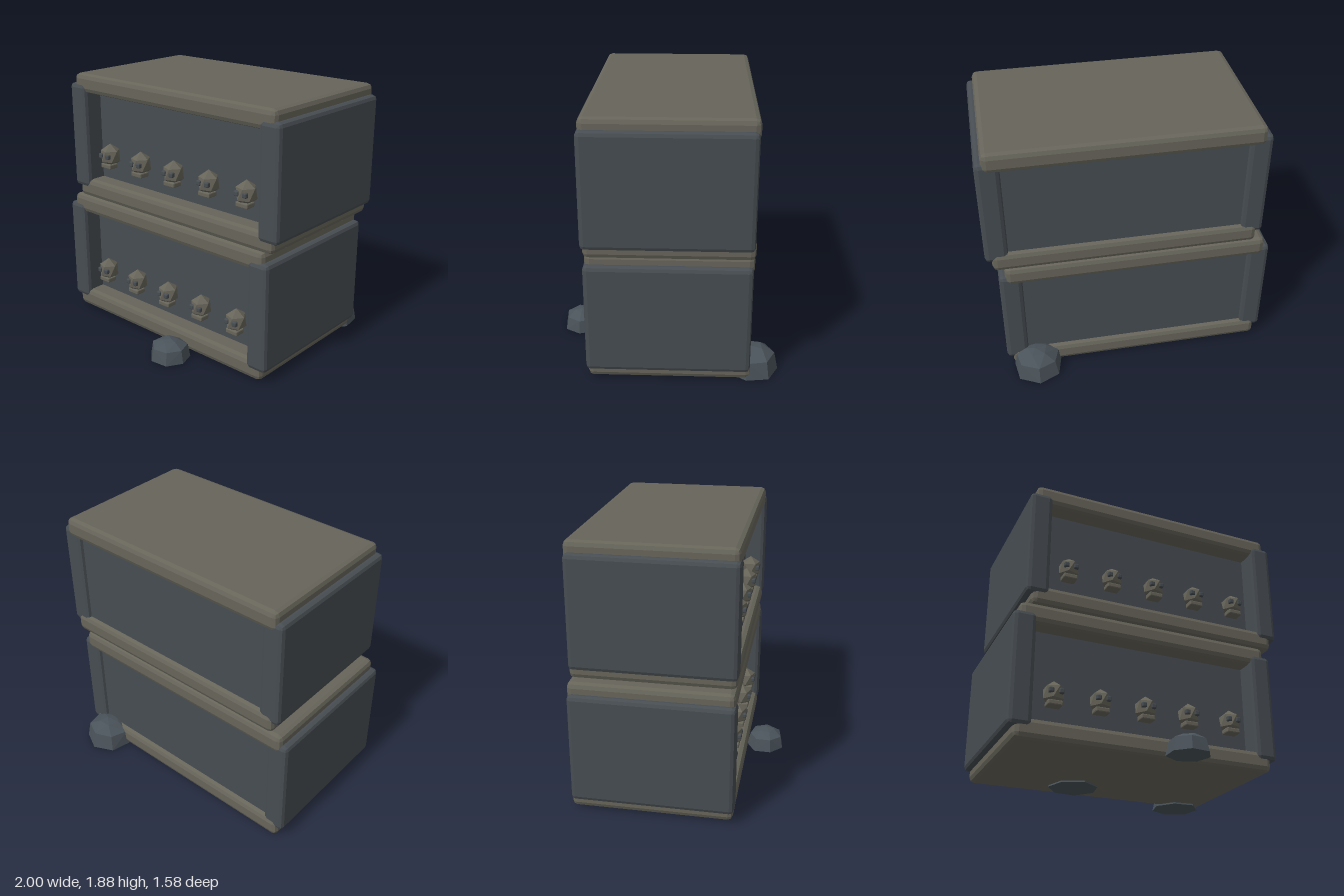
import * as THREE from 'three';
import { ConvexGeometry } from 'three/addons/geometries/ConvexGeometry.js';

const mat = (name, color) => {
  const m = new THREE.MeshStandardMaterial({ color });
  m.name = name;
  return m;
};

// Box with softly bevelled edges, given by its full size
function bevelBox(w, h, d, r) {
  const a = Math.SQRT1_2, b = 1 / Math.sqrt(3);
  const dirs = [[1, 0, 0], [0, 1, 0], [0, 0, 1], [a, a, 0], [a, 0, a], [0, a, a], [b, b, b]];
  const pts = [];
  for (const sx of [-1, 1]) for (const sy of [-1, 1]) for (const sz of [-1, 1])
    for (const [x, y, z] of dirs)
      pts.push(new THREE.Vector3(
        sx * (w / 2 - r + r * x), sy * (h / 2 - r + r * y), sz * (d / 2 - r + r * z)));
  return new ConvexGeometry(pts);
}

// Irregular seven-sided stone with a flat base
function rockGeometry(rx, rz, h, turn, seed) {
  let s = seed;
  const rnd = () => (s = (s * 16807) % 2147483647) / 2147483647;
  const pts = [new THREE.Vector3(rx * 0.1, h, 0)];
  for (const [y, k, n] of [[0, 1, 7], [0.66, 0.86, 7], [0.93, 0.42, 5]])
    for (let i = 0; i < n; i++) {
      const t = turn + (i / n) * Math.PI * 2;
      const f = k * (0.95 + 0.08 * rnd());
      pts.push(new THREE.Vector3(Math.cos(t) * rx * f, y * h * (y ? 0.95 + 0.1 * rnd() : 1), Math.sin(t) * rz * f));
    }
  return new ConvexGeometry(pts);
}

export function createModel() {
  const model = new THREE.Group();
  const stone = mat('slate grey', 0x474d52);
  const trim = mat('olive stone', 0x67655a);
  const rockMat = mat('rock grey', 0x4a535a);

  const add = (parent, name, geo, material, x, y, z) => {
    const m = new THREE.Mesh(geo, material);
    m.name = name;
    m.position.set(x, y, z);
    parent.add(m);
    return m;
  };

  // Shared shapes
  const slabGeo = bevelBox(1.835, 0.14, 1.115, 0.036);
  const sideGeo = bevelBox(0.16, 0.785, 1.115, 0.03);
  const coreGeo = new THREE.BoxGeometry(1.7, 0.75, 0.94);
  const headGeo = new THREE.IcosahedronGeometry(1, 0);
  headGeo.rotateX(-Math.atan2((1 + Math.sqrt(5)) / 2, 1));
  headGeo.rotateY(Math.PI / 2);
  headGeo.scale(0.078, 0.09, 0.08);
  const jawGeo = bevelBox(0.1, 0.036, 0.08, 0.008);
  const eyeGeo = bevelBox(0.036, 0.036, 0.03, 0.008);

  // Small carved skull
  function skull() {
    const g = new THREE.Group();
    g.name = 'skull';
    add(g, 'head', headGeo, trim, 0, 0, 0);
    add(g, 'jaw', jawGeo, trim, 0, -0.073, 0.015);
    for (const s of [-1, 1]) add(g, 'eye', eyeGeo, stone, s * 0.034, 0.004, 0.057);
    return g;
  }

  // One stone block: recessed core, end panels, two slabs and a row of skulls
  function block(name, x, y) {
    const g = new THREE.Group();
    g.name = name;
    g.position.set(x, y, 0);
    add(g, 'core', coreGeo, stone, 0, 0.47, -0.09);
    add(g, 'bottomSlab', slabGeo, trim, 0, 0.07, -0.038);
    add(g, 'topSlab', slabGeo, trim, 0, 0.867, -0.038);
    for (const s of [-1, 1]) add(g, 'endPanel', sideGeo, stone, s * 0.882, 0.47, -0.029);
    for (let i = -2; i <= 2; i++) {
      const k = skull();
      k.position.set(i * 0.323, 0.345, 0.44);
      g.add(k);
    }
    model.add(g);
  }
  block('lowerBlock', -0.038, 0.012);
  block('upperBlock', 0.036, 0.948);

  // Loose stones around and beneath the base
  add(model, 'frontRock', rockGeometry(0.153, 0.145, 0.145, 0.1, 11), rockMat, 0.17, 0, 0.65);
  add(model, 'backRock', rockGeometry(0.185, 0.185, 0.185, 0.25, 57), rockMat, 0.705, 0, -0.61);
  add(model, 'hiddenRock', rockGeometry(0.185, 0.185, 0.17, 0.6, 91), rockMat, -0.235, 0, -0.37);

  return model;
}
